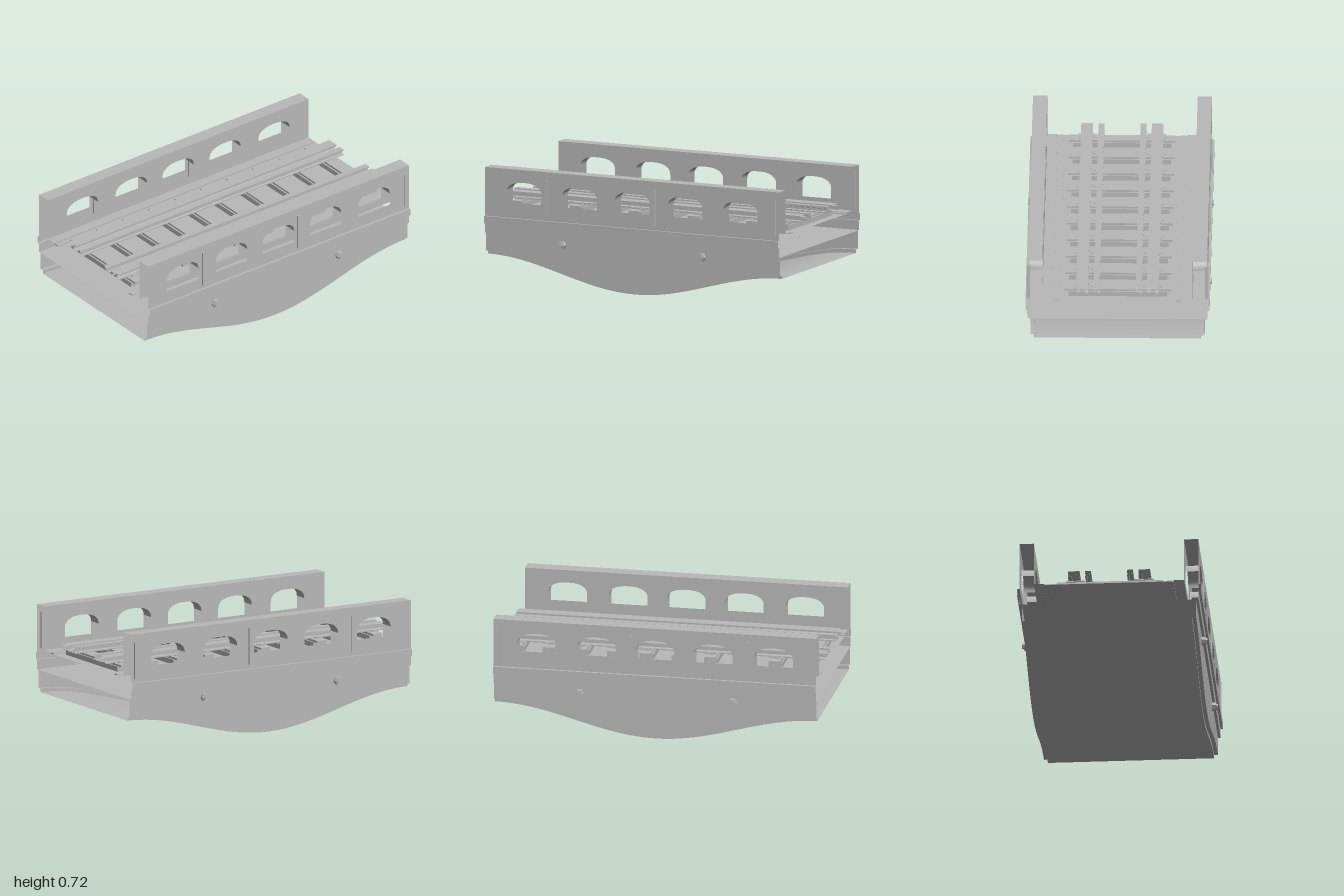
import * as THREE from 'three';

const stone = new THREE.MeshStandardMaterial({ color: 0xb8b8b8, side: THREE.DoubleSide });
stone.name = 'grey';

// Open shell through a cross-section fn(z) -> [[x, y], ...] at each z
function loft(name, zs, fn) {
  const pos = [];
  for (let i = 0; i < zs.length - 1; i++) {
    const [z0, z1] = [zs[i], zs[i + 1]];
    const [a, b] = [fn(z0), fn(z1)];
    for (let j = 0; j < a.length - 1; j++) {
      const p = [...a[j], z0], q = [...a[j + 1], z0], r = [...b[j + 1], z1], s = [...b[j], z1];
      pos.push(...p, ...q, ...r, ...p, ...r, ...s);
    }
  }
  const g = new THREE.BufferGeometry();
  g.setAttribute('position', new THREE.Float32BufferAttribute(pos, 3));
  g.computeVertexNormals();
  return mesh(name, g);
}

function mesh(name, geometry) {
  const m = new THREE.Mesh(geometry, stone);
  m.name = name;
  return m;
}

// Box given by its limits on each axis
function box(name, x0, x1, y0, y1, z0, z1) {
  const m = mesh(name, new THREE.BoxGeometry(x1 - x0, y1 - y0, z1 - z0));
  m.position.set((x0 + x1) / 2, (y0 + y1) / 2, (z0 + z1) / 2);
  return m;
}

const ENDS = [1, -1];
const HOLES = [-0.735, -0.36, 0, 0.36, 0.735];
const WIDTH = 0.12, SILL = 0.49, SPRING = 0.568, CROWN = 0.637;

// Arch curve of a parapet opening, as [z, y]
function archPoints(zc) {
  return Array.from({ length: 17 }, (_, i) => {
    const t = (Math.PI * i) / 16;
    const c = Math.cos(t);
    return [zc + WIDTH * Math.sign(c) * Math.abs(c) ** 0.85, SPRING + (CROWN - SPRING) * Math.sin(t) ** 0.85];
  });
}

// Flat parapet face with arched openings, standing at x
function parapetFace(name, x, bottom) {
  const shape = new THREE.Shape([[-1, bottom], [1, bottom], [1, 0.716], [-1, 0.716]].map(p => new THREE.Vector2(...p)));
  for (const zc of HOLES) {
    const pts = [[zc - WIDTH, SILL], [zc + WIDTH, SILL], ...archPoints(zc)];
    shape.holes.push(new THREE.Path(pts.map(p => new THREE.Vector2(...p))));
  }
  const g = new THREE.ShapeGeometry(shape);
  g.rotateY(Math.PI / 2);
  g.scale(1, 1, -1);
  // mirroring z reverses the corners, so turn them back
  const idx = g.index.array;
  for (let i = 0; i < idx.length; i += 3) [idx[i], idx[i + 1]] = [idx[i + 1], idx[i]];
  g.computeVertexNormals();
  const m = mesh(name, g);
  m.position.x = x;
  return m;
}

// Curved lining of one opening
function archLining(zc) {
  const pts = archPoints(zc);
  const g = new THREE.PlaneGeometry(1, 1, pts.length - 1, 1);
  const p = g.attributes.position;
  for (let i = 0; i < p.count; i++) {
    const [z, y] = pts[i % pts.length];
    p.setXYZ(i, i < pts.length ? 0.458 : 0.545, y, z);
  }
  g.computeVertexNormals();
  return mesh('archLining', g);
}

function makeSide() {
  const side = new THREE.Group();

  // Parapet wall
  side.add(parapetFace('parapetOuterFace', 0.545, 0.415), parapetFace('parapetInnerFace', 0.458, 0.445));
  side.add(loft('parapetTop', ENDS, () => [[0.545, 0.716], [0.458, 0.716]]));
  for (const zc of HOLES) side.add(archLining(zc));
  for (const z of [0.58, -0.15, -0.97]) {
    side.add(box('pilaster', 0.533, 0.554, 0.44, 0.668, z - 0.008, z + 0.008));
  }

  // Cornice and lower band
  side.add(loft('cornice', ENDS, () => [
    [0.531, 0.31], [0.547, 0.31], [0.547, 0.37], [0.561, 0.37], [0.561, 0.415], [0.545, 0.415]]));

  // Kerb and drain strip at the deck edge
  side.add(loft('kerb', ENDS, () => [[0.458, 0.445], [0.394, 0.445], [0.394, 0.435]]));
  side.add(box('drainStrip', 0.355, 0.385, 0.436, 0.443, -1, 1));

  // Hexagonal tie bolts
  for (const z of [0.48, -0.47]) {
    for (const [r, x1] of [[0.026, 0.555], [0.018, 0.566]]) {
      const bolt = mesh('tieBolt', new THREE.CylinderGeometry(r, r, x1 - 0.528, 6).toNonIndexed());
      bolt.geometry.computeVertexNormals();
      bolt.rotation.z = -Math.PI / 2;
      bolt.position.set((x1 + 0.528) / 2, 0.272, z);
      side.add(bolt);
    }
  }

  // Running rail and guard rail: foot, web and head
  for (const [name, c, h] of [['runningRail', 0.215, 0.036], ['guardRail', 0.128, 0.018]]) {
    const w = h * 0.4;
    const half = [[h, 0.482], [h, 0.49], [w, 0.493], [w, 0.508], [h, 0.511], [h, 0.523]];
    const profile = [...half, ...half.slice().reverse().map(([x, y]) => [-x, y])];
    side.add(loft(name, ENDS, () => profile.map(([x, y]) => [c + x, y])));
  }
  return side;
}

export function createModel() {
  const model = new THREE.Group();
  model.name = 'railwayBridge';

  const left = makeSide(), right = makeSide();
  left.name = 'leftSide';
  right.name = 'rightSide';
  right.scale.x = -1;
  model.add(left, right);

  // Arched underside with stepped rim and spandrels
  const zs = Array.from({ length: 49 }, (_, i) => 1 - i / 24);
  const curve = z => 0.0875 * (1 - Math.cos(Math.PI * z));
  model.add(loft('underside', zs, z => [[-0.507, curve(z)], [0.507, curve(z)]]));
  for (const s of [1, -1]) {
    model.add(loft('spandrel', zs, z => {
      const c = curve(z);
      const pts = [[0.507, c], [0.507, c + 0.022], [0.531, c + 0.022], [0.531, 0.31]];
      return s > 0 ? pts : pts.map(([x, y]) => [-x, y]).reverse();
    }));
  }

  // Deck and the floor below it
  model.add(loft('deck', ENDS, () => [[0.394, 0.437], [-0.394, 0.437]]));
  model.add(loft('lowerFloor', ENDS, () => [[0.531, 0.31], [-0.531, 0.31]]));

  // Sleepers with rail chairs
  for (let i = 0; i < 10; i++) {
    const z = -0.9 + i * 0.2;
    const sleeper = new THREE.Group();
    sleeper.name = 'sleeper';
    sleeper.add(box('sleeperBody', -0.3, 0.3, 0.437, 0.468, z - 0.044, z + 0.044));
    sleeper.add(box('sleeperTop', -0.325, 0.325, 0.468, 0.48, z - 0.034, z + 0.034));
    for (const s of [1, -1]) {
      sleeper.add(box('railChair', s * 0.21 - 0.057, s * 0.21 + 0.057, 0.48, 0.486, z - 0.042, z + 0.042));
      for (const x of [0.16, 0.263]) {
        sleeper.add(box('chairBolt', s * x - 0.006, s * x + 0.006, 0.486, 0.492, z - 0.012, z + 0.012));
      }
    }
    model.add(sleeper);
  }
  return model;
}
